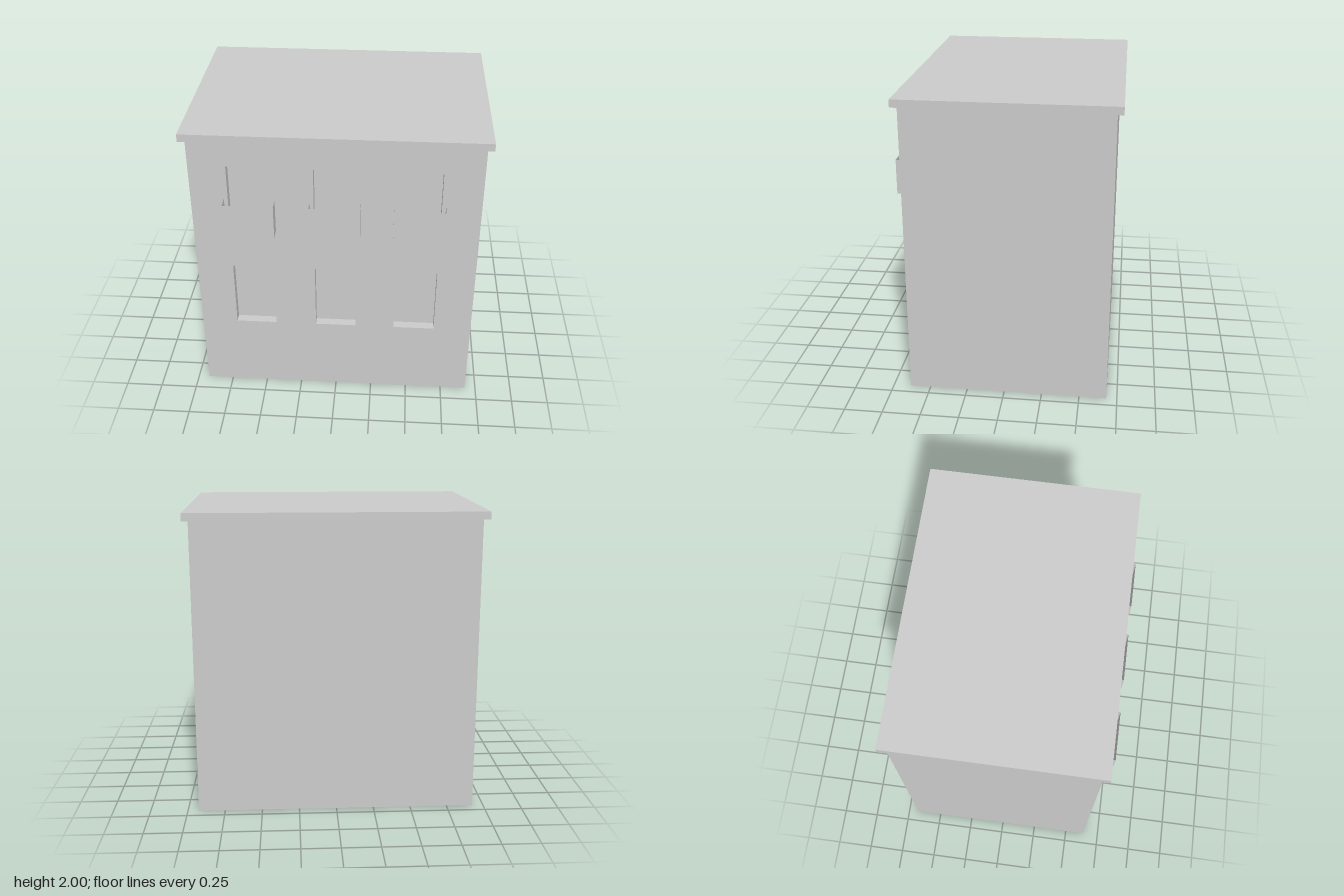
import * as THREE from 'three';

const FRONT = 0.635, BACK = -0.68, HALF_W = 0.925, WALL_H = 1.95;
const NICHE = 0.06;
const COLUMNS = [-0.548, 0, 0.536];
const SILLS = [0.535, 1.297];

// Arched window outline, counter-clockwise, from its sill centre
function windowOutline(x, y) {
  return [[-0.137, 0], [0.137, 0], [0.137, 0.465], [0.069, 0.517], [0, 0.538], [-0.069, 0.517], [-0.137, 0.465]]
    .map(([dx, dy]) => new THREE.Vector2(x + dx, y + dy));
}

// Band of faces running from the wall surface back along an outline
function revealGeometry(outline) {
  const positions = [];
  outline.forEach((a, i) => {
    const b = outline[(i + 1) % outline.length];
    const back = FRONT - NICHE;
    positions.push(a.x, a.y, FRONT, b.x, b.y, FRONT, b.x, b.y, back);
    positions.push(a.x, a.y, FRONT, b.x, b.y, back, a.x, a.y, back);
  });
  const geometry = new THREE.BufferGeometry();
  geometry.setAttribute('position', new THREE.Float32BufferAttribute(positions, 3));
  geometry.computeVertexNormals();
  return geometry;
}

// Box with one face left out (0..5 = +x, -x, +y, -y, +z, -z)
function openBox(w, h, d, face) {
  const geometry = new THREE.BoxGeometry(w, h, d);
  const index = Array.from(geometry.index.array);
  index.splice(face * 6, 6);
  geometry.setIndex(index);
  geometry.clearGroups();
  return geometry;
}

export function createModel() {
  const group = new THREE.Group();
  const solid = new THREE.MeshStandardMaterial({ color: 0xcccccc, flatShading: true });
  const thin = new THREE.MeshStandardMaterial({ color: 0xcccccc, flatShading: true, side: THREE.DoubleSide });

  function add(name, geometry, x = 0, y = 0, z = 0, material = solid, parent = group) {
    const mesh = new THREE.Mesh(geometry, material);
    mesh.name = name;
    mesh.position.set(x, y, z);
    parent.add(mesh);
    return mesh;
  }

  // Side walls, back wall and base; the front is a separate pierced wall
  add('walls', openBox(2 * HALF_W, WALL_H, FRONT - BACK, 4), 0, WALL_H / 2, (FRONT + BACK) / 2);

  const facade = new THREE.Shape([
    new THREE.Vector2(-HALF_W, 0), new THREE.Vector2(HALF_W, 0),
    new THREE.Vector2(HALF_W, WALL_H), new THREE.Vector2(-HALF_W, WALL_H),
  ]);

  // Two rows of recessed arched windows
  for (const y of SILLS) {
    for (const x of COLUMNS) {
      const outline = windowOutline(x, y);
      facade.holes.push(new THREE.Path(outline));
      const niche = new THREE.Group();
      niche.name = 'window';
      group.add(niche);
      add('windowReveal', revealGeometry(outline), 0, 0, 0, solid, niche);
      add('windowPane', new THREE.ShapeGeometry(new THREE.Shape(outline)), 0, 0, FRONT - NICHE, solid, niche);
    }
  }
  add('frontWall', new THREE.ShapeGeometry(facade), 0, 0, FRONT);

  // Thin-walled balconies, open on top and against the wall
  const depth = 0.085, height = 0.23, width = 0.324;
  for (const x of COLUMNS) {
    const balcony = new THREE.Group();
    balcony.name = 'balcony';
    balcony.position.set(x, 1.3, FRONT);
    group.add(balcony);
    add('balconyFront', new THREE.PlaneGeometry(width, height), 0, height / 2, depth, thin, balcony);
    for (const side of [-1, 1]) {
      const panel = add('balconySide', new THREE.PlaneGeometry(depth, height), side * width / 2, height / 2, depth / 2, thin, balcony);
      panel.rotation.y = side * Math.PI / 2;
    }
    const floor = add('balconyFloor', new THREE.PlaneGeometry(width, depth), 0, 0, depth / 2, thin, balcony);
    floor.rotation.x = -Math.PI / 2;
  }

  // Flat overhanging roof slab
  add('roof', new THREE.BoxGeometry(1.925, 0.05, 1.39), 0, 1.975, -0.023);

  return group;
}
